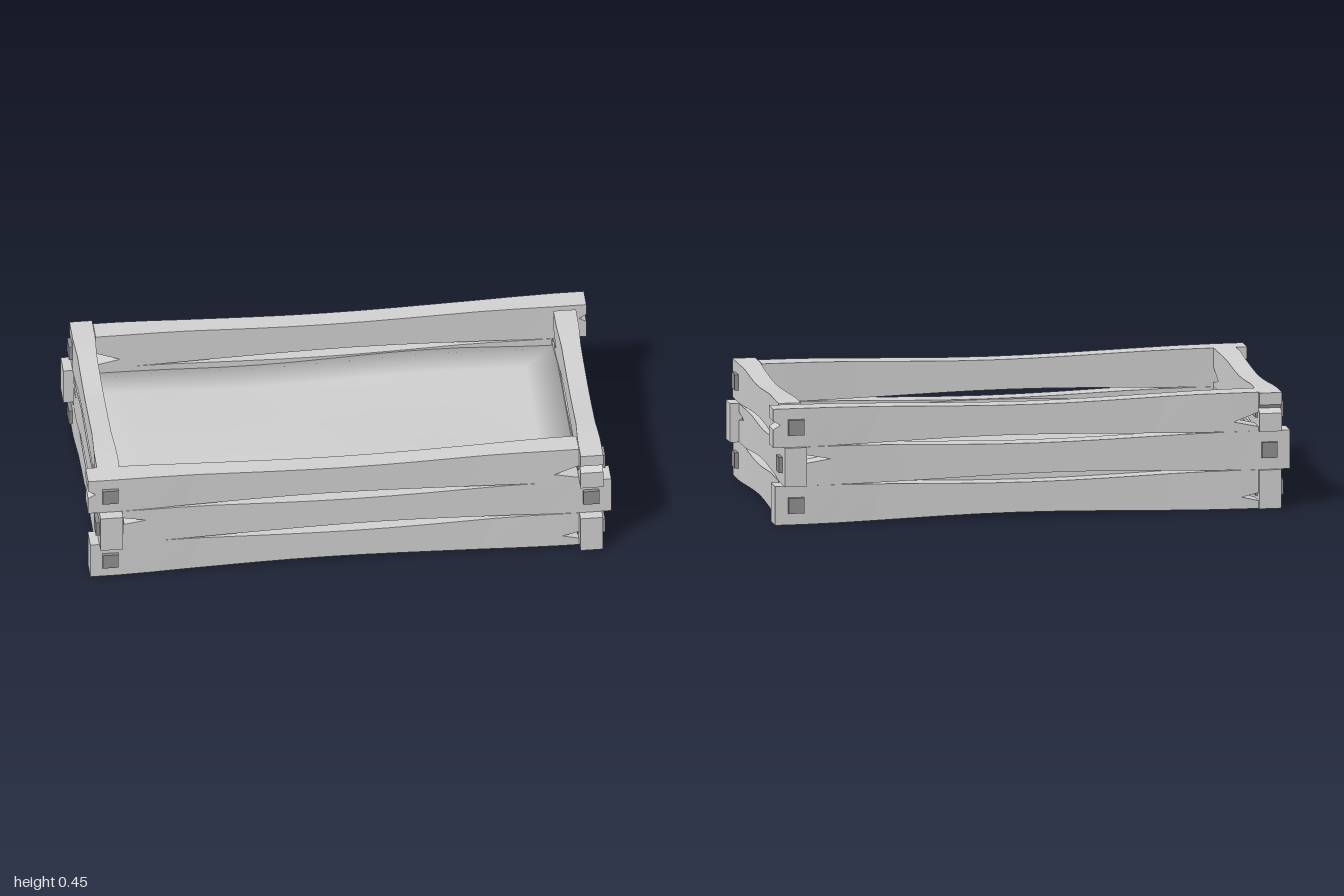
import * as THREE from 'three';
import { mergeGeometries } from 'three/addons/utils/BufferGeometryUtils.js';

const wood = new THREE.MeshStandardMaterial({ color: 0xd2d2d2 });
wood.name = 'weathered wood';
const pegWood = new THREE.MeshStandardMaterial({ color: 0x929292 });
pegWood.name = 'dark peg';
const soilMat = new THREE.MeshStandardMaterial({ color: 0xd0d0d0, side: THREE.DoubleSide });
soilMat.name = 'soil';

const LAYER = 0.149;
const THICK = 0.086;
const END = 0.11; // length of the plain block at the long end

// Split in the butt end of each course: low, high and apex heights, length
const CRACKS = [
  [0.03, 0.06, 0.045, 0.065],
  [0.086, 0.117, 0.1, 0.093],
  [0.017, 0.072, 0.037, 0.095],
];

// Straight block with the given outline
function endBlock(points, dir) {
  const shape = new THREE.Shape(points.map(([u, y]) => new THREE.Vector2(u * dir, y)));
  const geo = new THREE.ExtrudeGeometry(shape, { depth: THICK, bevelEnabled: false });
  return geo.translate(0, 0, -THICK / 2);
}

// Middle of a board, narrowing in height and thickness
function waistedBody(from, to, dir, skew) {
  const mid = (from + to) / 2 * dir, half = (to - from) / 2;
  const geo = new THREE.BoxGeometry(2, 2, 2, 12, 1, 1);
  const p = geo.attributes.position;
  for (let i = 0; i < p.count; i++) {
    const t = p.getX(i), sy = p.getY(i), sz = p.getZ(i);
    const inset = 0.0085 * (1 + Math.cos(Math.PI * t));
    const thin = 0.006 * Math.min(1, (1 - Math.abs(t)) * 3);
    p.setXYZ(i,
      mid + half * (t + skew * sy * (1 - t * t)),
      LAYER / 2 + sy * (LAYER / 2 - inset),
      sz * (THICK / 2 - thin));
  }
  const flat = geo.toNonIndexed();
  flat.computeVertexNormals();
  return flat;
}

// Board with a long end at u = -long and a split butt end at u = butt
function plankGeometry({ long, butt, notch, crack, dir, skew }) {
  const [low, high, apex, depth] = crack;
  const inner = -long + END, root = butt - depth;
  const longEnd = [[inner, 0], [inner, LAYER], [-long, LAYER]];
  if (notch) longEnd.push([-long, 0.103], [-long + 0.028, 0.086], [-long, 0.07]);
  longEnd.push([-long, 0]);
  const buttEnd = [[root, 0], [butt, 0], [butt, low], [root, apex], [butt, high], [butt, LAYER], [root, LAYER]];
  // The split stops just short of the body so that the outline stays simple
  buttEnd[3][0] += 0.002;
  return mergeGeometries([
    endBlock(longEnd, dir),
    waistedBody(inner, root, dir, skew),
    endBlock(buttEnd, dir),
  ]);
}

// Gently rolling sheet whose outermost ring hangs down as a skirt
function createSoil() {
  const nx = 16, nz = 8;
  const geo = new THREE.PlaneGeometry(1, 1, nx, nz);
  const p = geo.attributes.position;
  const place = (i, n, size) =>
    (THREE.MathUtils.clamp((i - 1) / (n - 2), 0, 1) - 0.5) * size;
  for (let k = 0; k < p.count; k++) {
    const i = k % (nx + 1), j = Math.floor(k / (nx + 1));
    const x = place(i, nx, 1.756), z = place(j, nz, 0.85) - 0.014;
    const skirt = i === 0 || j === 0 || i === nx || j === nz;
    const wave = 0.007 * Math.sin(5.2 * x + 2.5 * z + 0.8) + 0.004 * Math.sin(7 * z - 3 * x);
    p.setXYZ(k, x, skirt ? 0.12 : 0.271 + wave, z);
  }
  geo.computeVertexNormals();
  const soil = new THREE.Mesh(geo, soilMat);
  soil.name = 'soil';
  return soil;
}

export function createModel() {
  const model = new THREE.Group();
  model.name = 'planterBox';

  const sides = [
    { name: 'front', long: 0.998, butt: 0.868, out: 0.4425, peg: 0.914 },
    { name: 'right', long: 0.533, butt: 0.4, out: 0.9125, peg: 0.448 },
    { name: 'back', long: 0.998, butt: 0.868, out: 0.4695, peg: 0.91 },
    { name: 'left', long: 0.533, butt: 0.4, out: 0.9125, peg: 0.46 },
  ];

  // Three courses of boards, overlapping in alternating directions at the corners
  for (let layer = 0; layer < 3; layer++) {
    const dir = layer === 1 ? -1 : 1;
    sides.forEach((s, k) => {
      const side = new THREE.Group();
      side.name = `${s.name}Course${layer + 1}`;
      side.rotation.y = k * Math.PI / 2;

      const plank = new THREE.Mesh(plankGeometry({
        long: s.long - [0.008, 0.007, 0][layer],
        butt: s.butt,
        notch: layer === 2,
        crack: CRACKS[layer],
        dir,
        skew: [0.06, -0.06, 0.04, -0.05][(k + layer) % 4],
      }), wood);
      plank.name = `${s.name}Plank`;
      plank.position.set(0, layer * LAYER, s.out);

      // Square peg through the overlap
      const peg = new THREE.Mesh(new THREE.BoxGeometry(0.06, 0.06, 0.108), pegWood);
      peg.name = `${s.name}Peg`;
      peg.position.set(-s.peg * dir, layer * 0.15 + 0.075, s.out + 0.003);

      side.add(plank, peg);
      model.add(side);
    });
  }

  model.add(createSoil());
  return model;
}
